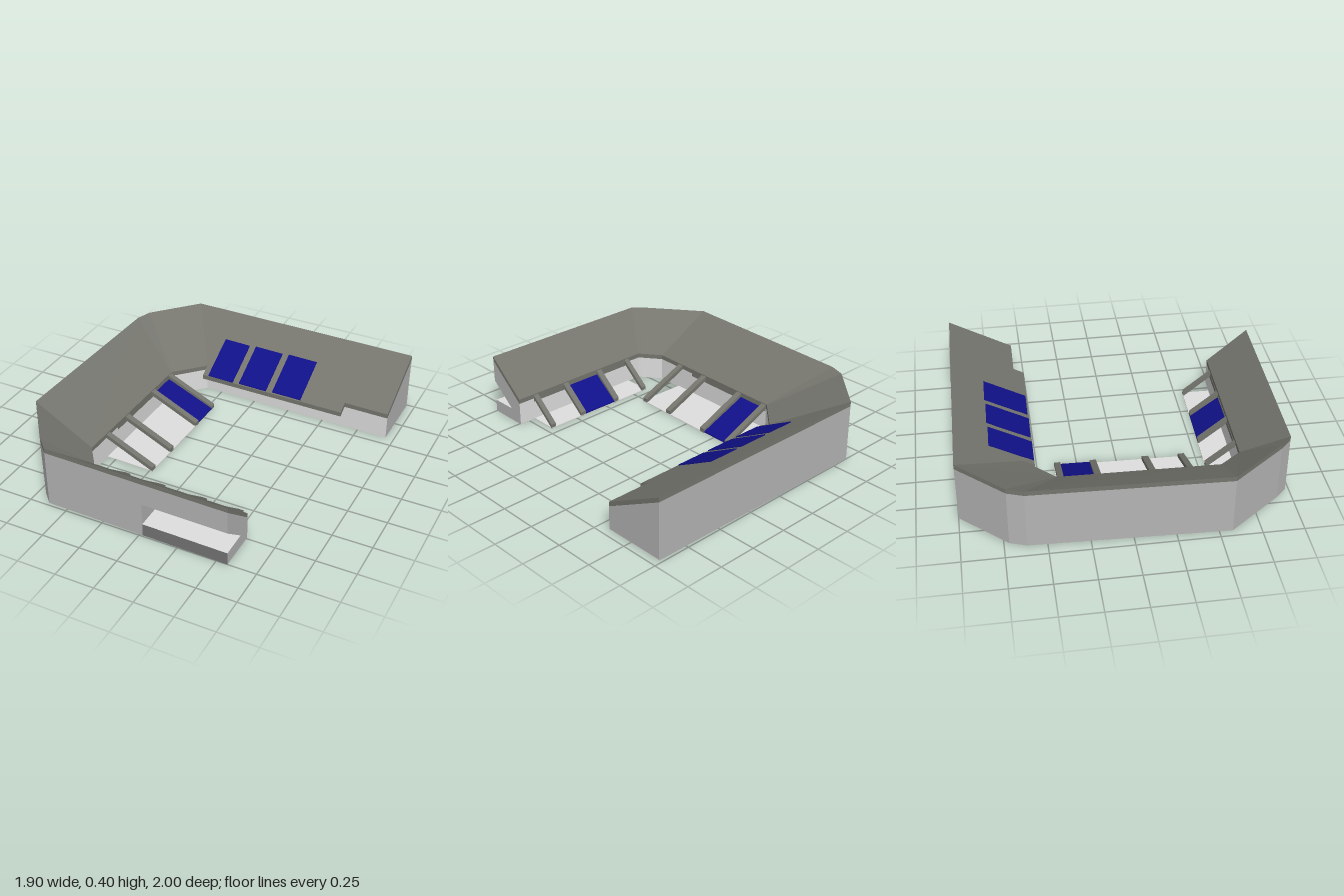
import * as THREE from 'three';

const mat = (name, color) => {
  const m = new THREE.MeshStandardMaterial({ color, side: THREE.DoubleSide });
  m.name = name;
  return m;
};

// Flat-shaded mesh from quads, each given as four [x, y, z] corners
function quadMesh(name, material, quads) {
  const pos = [];
  for (const [a, b, c, d] of quads) pos.push(...a, ...b, ...c, ...a, ...c, ...d);
  const g = new THREE.BufferGeometry();
  g.setAttribute('position', new THREE.Float32BufferAttribute(pos, 3));
  g.computeVertexNormals();
  const m = new THREE.Mesh(g, material);
  m.name = name;
  return m;
}

// Faces of a slab: top corners run counter-clockwise seen from above
function slab(top, t) {
  const low = top.map(([x, y, z]) => [x, y - t, z]);
  const faces = [top, [...low].reverse()];
  for (let i = 0; i < 4; i++) {
    const j = (i + 1) % 4;
    faces.push([low[i], low[j], top[j], top[i]]);
  }
  return faces;
}

// Outer wall line and matching inner eave line of the U-shaped plan, as [x, z]
const OUTER = [[0.95, -0.98], [-0.62, -1], [-0.88, -0.72], [-0.915, -0.62],
  [-0.955, 0.58], [-0.7, 0.91], [-0.63, 0.98], [0.02, 0.991], [0.57, 1]];
const INNER = [[0.945, -0.57], [-0.36, -0.59], [-0.535, -0.41], [-0.54, -0.4],
  [-0.56, 0.59], [-0.47, 0.71], [-0.46, 0.725], [0.02, 0.732], [0.57, 0.74]];
const RIDGE = 0.4, EAVE = 0.18, T = 0.03;
const at = ([x, z], y) => [x, y, z];

// Height of the rear wing's roof plane
const rearY = (x, z) => RIDGE - 0.5366 * (z + 1 - 0.0127 * (x + 0.62));

export function createModel() {
  const roof = mat('roof grey', 0x76766f);
  const wall = mat('wall grey', 0xb4b4b4);
  const light = mat('light interior', 0xdedede);
  const dark = mat('dark panel', 0x747474);
  const blue = mat('solar blue', 0x11118a);
  const model = new THREE.Group();
  model.name = 'uShapedBuilding';

  // Shell: roof slabs, outer walls, inner walls and floor, one bay at a time
  const roofQ = [], outerQ = [], innerQ = [], floorQ = [];
  const last = OUTER.length - 2;
  for (let i = 0; i <= last; i++) {
    const [o, p, a, b] = [OUTER[i], OUTER[i + 1], INNER[i], INNER[i + 1]];
    roofQ.push(...slab([at(o, RIDGE), at(p, RIDGE), at(b, EAVE), at(a, EAVE)], T));
    outerQ.push([at(p, i === last ? 0.225 : 0), at(o, i === last ? 0.225 : 0), at(o, RIDGE - T), at(p, RIDGE - T)]);
    innerQ.push([at(a, 0), at(b, 0), at(b, EAVE - T), at(a, EAVE - T)]);
    floorQ.push([at(o, 0), at(a, 0), at(b, 0), at(p, 0)]);
  }
  // Overhang of the rear roof
  const lift = (x, z, d = 0) => [x, rearY(x, z) + d, z];
  roofQ.push(...slab([lift(0.65, -0.58), lift(-0.36, -0.59), lift(-0.36, -0.52), lift(0.65, -0.507)], T));
  model.add(quadMesh('roof', roof, roofQ), quadMesh('outerWalls', wall, outerQ),
    quadMesh('innerWalls', light, innerQ), quadMesh('floor', wall, floorQ));

  // End walls, profiles drawn as [z, y]
  const endWall = (name, x, profile) => {
    const shape = new THREE.Shape(profile.map(([z, y]) => new THREE.Vector2(-z, y)));
    const m = new THREE.Mesh(new THREE.ShapeGeometry(shape).rotateY(Math.PI / 2), wall);
    m.position.x = x;
    m.name = name;
    model.add(m);
  };
  endWall('rearEndWall', 0.946, [[-0.98, 0], [-0.98, 0.37], [-0.57, 0.15], [-0.57, 0]]);
  endWall('frontEndWall', 0.57, [[1, 0], [1, 0.082], [0.83, 0.084], [1, 0.225], [1, 0.37], [0.74, 0.15], [0.74, 0]]);

  // Wedge-shaped recess cut into the front wall
  const [l, r] = [[0.02, 0.991], [0.57, 1]];
  const [lb, rb] = [[0.02, 0.825], [0.57, 0.83]];
  model.add(
    quadMesh('recessApron', dark, [[at(l, 0), at(r, 0), at(r, 0.082), at(l, 0.082)]]),
    quadMesh('recessShelf', light, [[at(l, 0.082), at(r, 0.082), at(rb, 0.084), at(lb, 0.084)]]),
    quadMesh('recessCeiling', roof, [[at(lb, 0.084), at(rb, 0.084), at(r, 0.225), at(l, 0.225)]]),
    quadMesh('recessSide', wall, [[at(l, 0.082), at(lb, 0.084), at(lb, 0.084), at(l, 0.225)]]));

  // Blue panels lying on the rear roof
  const rearPanels = [];
  for (const [x0, x1] of [[-0.32, -0.135], [-0.09, 0.11], [0.155, 0.36]])
    rearPanels.push(...slab([lift(x1, -0.785, 0.006), lift(x0, -0.79, 0.006),
      lift(x0, -0.522, 0.006), lift(x1, -0.518, 0.006)], 0.008));
  model.add(quadMesh('rearRoofPanels', blue, rearPanels));

  // Sloping bays down to the courtyard: s runs along the eave, e/f are top and foot lines
  const bay = (name, beams, panel, place, ends) => {
    const strip = (s0, s1, y0, y1, t) => slab([place(s0, 0, y0), place(s0, 1, y1), place(s1, 1, y1), place(s1, 0, y0)], t);
    const g = new THREE.Group();
    g.name = name;
    g.add(
      quadMesh('beams', roof, beams.flatMap(([a, b]) => strip(a, b, 0.175, 0.028, 0.028))),
      quadMesh('eaveHeader', roof, [[place(ends[0], 0.01, 0.13), place(ends[1], 0.01, 0.13),
        place(ends[1], 0.01, 0.16), place(ends[0], 0.01, 0.16)]]),
      quadMesh('bluePanel', blue, strip(panel[0], panel[1], 0.15, 0.014, 0.008)),
      quadMesh('deck', light, strip(ends[0], ends[1], 0.006, 0.006, 0.005)));
    model.add(g);
  };
  bay('sideBay', [[-0.4, -0.362], [-0.178, -0.138], [0.152, 0.192], [0.382, 0.42]], [-0.362, -0.178],
    (s, k, y) => [-0.54 - 0.025 * (s + 0.4) + 0.33 * k, y, s + 0.009 * k], [-0.4, 0.42]);
  bay('frontBay', [[-0.36, -0.325], [-0.115, -0.075], [0.172, 0.212], [0.422, 0.457]], [-0.075, 0.172],
    (s, k, y) => [s + 0.003 * k, y, 0.728 + 0.015 * s - 0.18 * k], [-0.36, 0.457]);

  return model;
}
